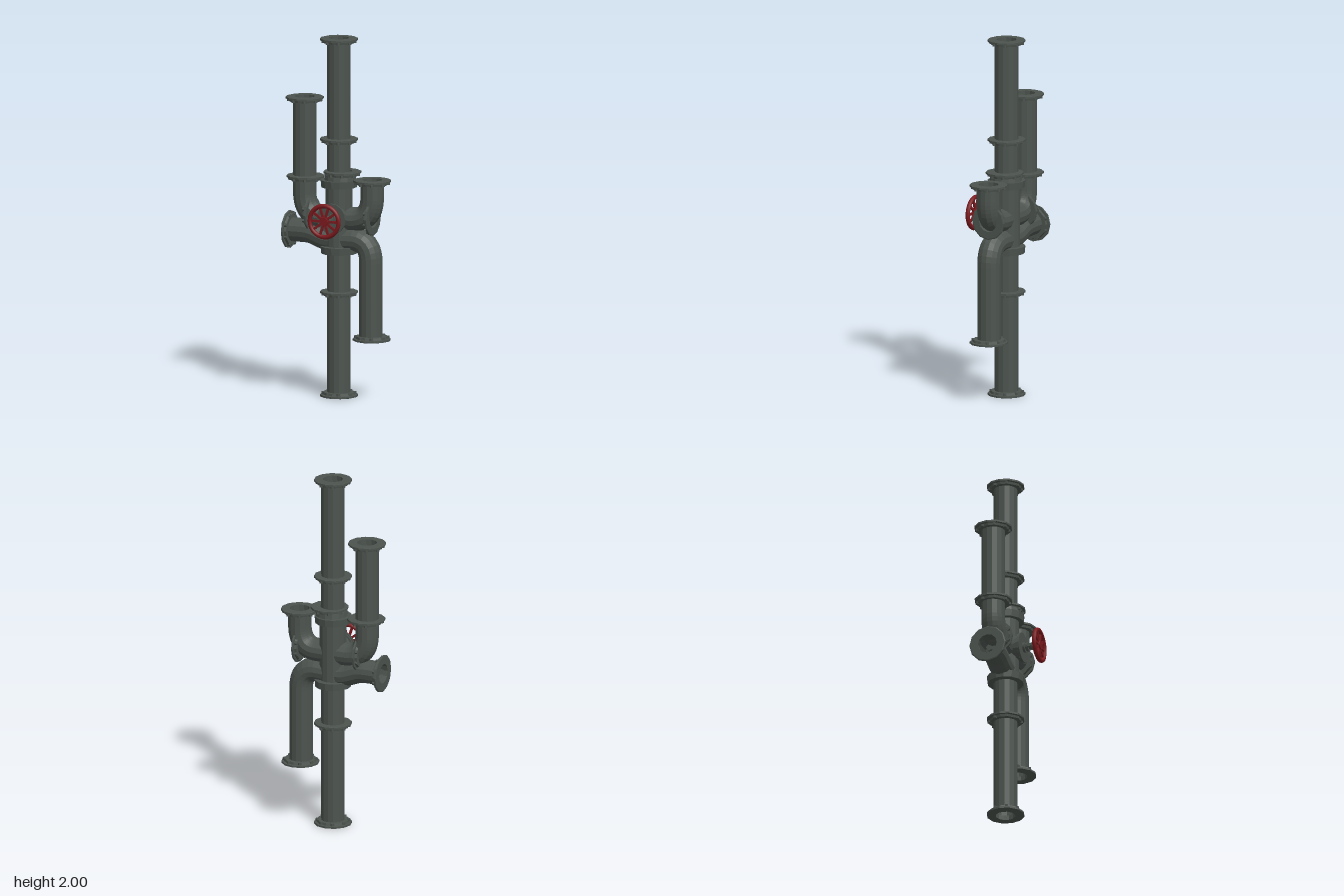
import * as THREE from 'three';

const AXIS_Z = -0.053; // plane shared by all the pipes
const R = 0.066;       // pipe radius

export function createModel() {
  const model = new THREE.Group();
  const iron = new THREE.MeshStandardMaterial({ color: 0x4c534e, side: THREE.DoubleSide });
  iron.name = 'dark iron';
  iron.flatShading = true;
  const smoothIron = iron;
  const red = new THREE.MeshStandardMaterial({ color: 0x7c1a1e });
  red.name = 'wheel red';

  const add = (parent, name, geometry, material, x = 0, y = 0, z = 0) => {
    const mesh = new THREE.Mesh(geometry, material);
    mesh.name = name;
    mesh.position.set(x, y, z);
    parent.add(mesh);
    return mesh;
  };
  const V = (x, y) => new THREE.Vector3(x, y, AXIS_Z);

  // Stepped ring with bolts; its face is at the origin and looks along local +y
  const flange = (name, x, y, rotZ = 0, radius = 0.105) => {
    const g = new THREE.Group();
    g.name = name;
    const p = [[0.055, -0.026], [radius - 0.017, -0.026], [radius - 0.014, -0.013],
      [radius, -0.012], [radius, -0.002], [radius - 0.006, 0], [0.055, 0], [0.055, -0.026]];
    add(g, 'flangeRing', new THREE.LatheGeometry(p.map(a => new THREE.Vector2(...a)), 12), iron);
    for (let i = 0; i < 8; i++) {
      const a = (i + 0.5) * Math.PI / 4;
      add(g, 'bolt', new THREE.CylinderGeometry(0.01, 0.01, 0.014, 6), iron,
        Math.cos(a) * (radius - 0.018), -0.021, Math.sin(a) * (radius - 0.018));
    }
    g.position.set(x, y, AXIS_Z);
    g.rotation.z = rotZ;
    model.add(g);
  };

  const pipe = (name, x, y0, y1, r = R) =>
    add(model, name, new THREE.CylinderGeometry(r, r, y1 - y0, 14, 1, true), iron, x, (y0 + y1) / 2, AXIS_Z);

  const bentPipe = (name, curves, r = R) => {
    const path = new THREE.CurvePath();
    curves.forEach(c => path.add(c));
    add(model, name, new THREE.TubeGeometry(path, 40, r, 14, false), smoothIron);
  };

  // Central riser
  pipe('lowerRiser', 0.002, 0.005, 0.84);
  pipe('riserBody', 0.002, 0.82, 1.18, 0.075);
  pipe('upperRiser', 0.002, 1.2, 1.995);
  flange('topFlange', 0.002, 2);
  flange('upperFlange', 0.002, 1.442);
  flange('offsetFlange', 0.022, 1.26);
  flange('lowerFlange', 0.002, 0.59);
  flange('bottomFlange', 0.002, 0, Math.PI);

  // Thick collars above and below the valve body
  for (const [y, h] of [[1.19, 0.04], [0.82, 0.04]]) {
    add(model, 'collar', new THREE.CylinderGeometry(0.104, 0.1, h, 14), iron, 0.002, y, AXIS_Z);
  }
  add(model, 'collarNeck', new THREE.CylinderGeometry(0.085, 0.09, 0.035, 14), iron, 0.01, 1.222, AXIS_Z);

  // Upper cross pipe with an elbow rising on each side
  bentPipe('upperCrossPipe', [
    new THREE.LineCurve3(V(-0.205, 1.21), V(-0.205, 1.12)),
    new THREE.QuadraticBezierCurve3(V(-0.205, 1.12), V(-0.2, 0.995), V(-0.09, 0.995)),
    new THREE.LineCurve3(V(-0.09, 0.995), V(0.09, 0.995)),
    new THREE.QuadraticBezierCurve3(V(0.09, 0.995), V(0.2, 0.995), V(0.203, 1.12)),
    new THREE.LineCurve3(V(0.203, 1.12), V(0.203, 1.21)),
  ]);
  flange('rightElbowFlange', -0.2, 1.222);
  flange('leftElbowFlange', 0.203, 1.222);
  flange('rightCrossFlange', -0.155, 1.01, -Math.PI / 2, 0.1);
  flange('leftCrossFlange', 0.212, 1.01, -Math.PI / 2, 0.1);
  pipe('rightRiser', -0.205, 1.2, 1.655);
  flange('rightRiserFlange', -0.205, 1.66);

  // Lower branch: side outlet, sweep across the body, long drop pipe
  bentPipe('lowerBranch', [
    new THREE.LineCurve3(V(-0.3, 0.912), V(-0.2, 0.912)),
    new THREE.CubicBezierCurve3(V(-0.2, 0.912), V(-0.13, 0.912), V(-0.11, 0.875), V(-0.04, 0.875)),
    new THREE.LineCurve3(V(-0.04, 0.875), V(0.07, 0.88)),
    new THREE.QuadraticBezierCurve3(V(0.07, 0.88), V(0.195, 0.895), V(0.195, 0.76)),
    new THREE.LineCurve3(V(0.195, 0.76), V(0.195, 0.33)),
  ]);
  flange('outletFlange', -0.304, 0.912, Math.PI / 2);
  flange('dropFlange', 0.2, 0.325, Math.PI);

  // Valve bonnet and stem, turned around the z axis
  const valve = new THREE.Group();
  valve.name = 'valve';
  valve.position.set(0.002, 1.005, 0);
  model.add(valve);
  const disc = (name, r, z0, z1, material = iron, r2 = r) => {
    add(valve, name, new THREE.CylinderGeometry(r2, r, z1 - z0, 16), material, 0, 0, (z0 + z1) / 2)
      .rotation.x = Math.PI / 2;
  };
  disc('bonnetNeck', 0.07, -0.05, 0.034);
  disc('bonnetFlange', 0.08, 0.031, 0.04);
  disc('bonnetCover', 0.085, 0.042, 0.052);
  disc('bonnetCore', 0.074, 0.038, 0.044);
  disc('stemBase', 0.028, 0.05, 0.064);
  disc('stem', 0.014, 0.06, 0.14);
  disc('yokeBase', 0.023, 0.068, 0.084, iron, 0.026);
  disc('yokeTop', 0.026, 0.106, 0.118, iron, 0.02);
  for (const s of [-1, 1]) {
    add(valve, 'yokeArm', new THREE.BoxGeometry(0.006, 0.018, 0.03), iron, s * 0.025, 0, 0.095);
    add(valve, 'yokeBall', new THREE.SphereGeometry(0.01, 10, 8), iron, s * 0.011, 0, 0.095);
  }

  // Handwheel
  const wheel = new THREE.Group();
  wheel.name = 'handwheel';
  wheel.position.z = 0.143;
  valve.add(wheel);
  add(wheel, 'rim', new THREE.TorusGeometry(0.087, 0.0125, 8, 28), red);
  add(wheel, 'hub', new THREE.CylinderGeometry(0.024, 0.028, 0.022, 12), red).rotation.x = Math.PI / 2;
  for (let i = 0; i < 10; i++) {
    const a = i * Math.PI / 5;
    add(wheel, 'spoke', new THREE.BoxGeometry(0.066, 0.013, 0.009), red,
      Math.cos(a) * 0.052, Math.sin(a) * 0.052, 0).rotation.z = a;
  }
  return model;
}
